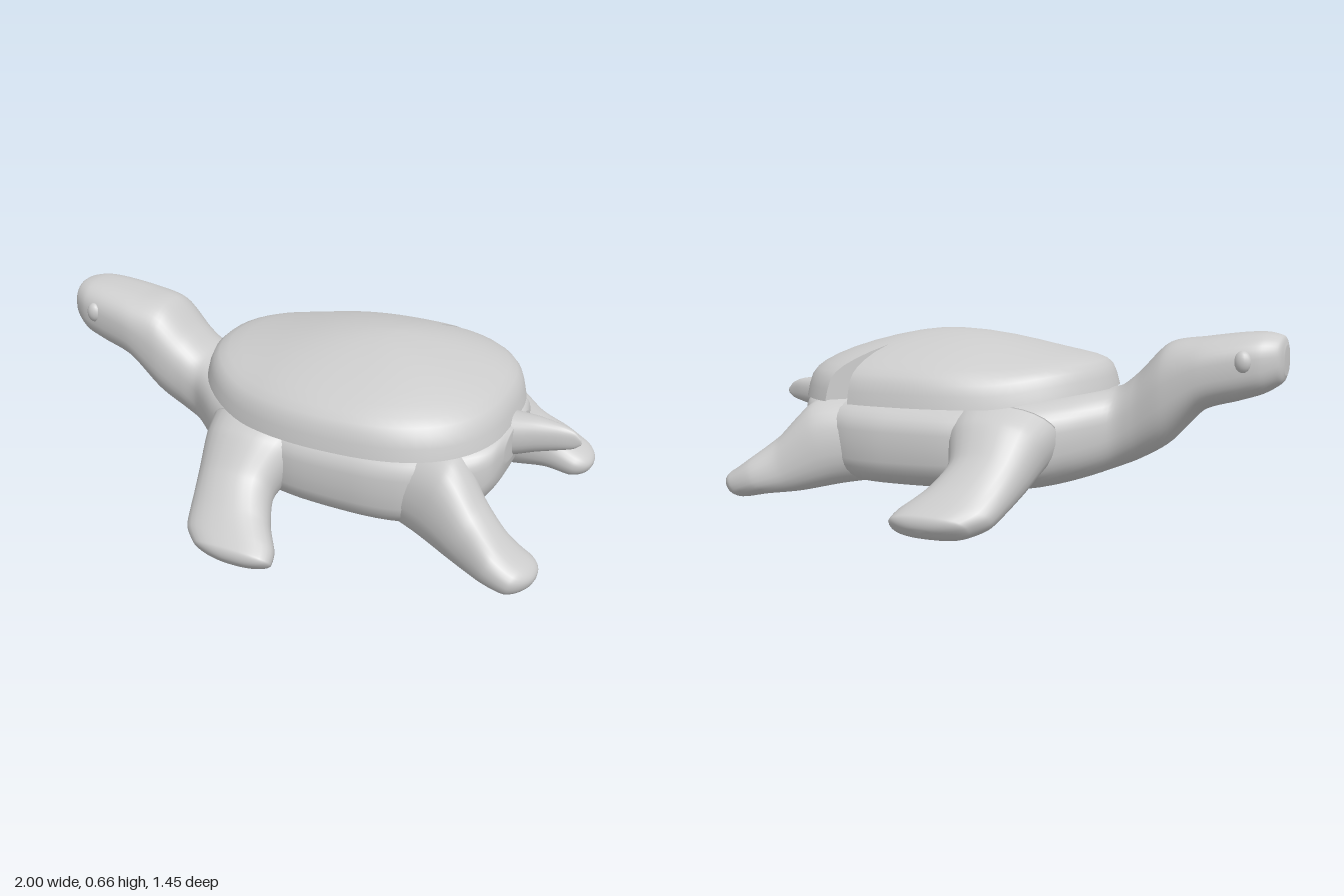
import * as THREE from 'three';
import { mergeVertices, toCreasedNormals } from 'three/addons/utils/BufferGeometryUtils.js';

const grey = new THREE.MeshStandardMaterial({ color: 0xcccccc });
grey.name = 'plain grey';

function makeGeometry(positions, indices) {
  const g = new THREE.BufferGeometry();
  g.setAttribute('position', new THREE.Float32BufferAttribute(positions, 3));
  g.setIndex(indices);
  return g;
}

// Smooth closed loft through sections [x, y, z, halfWidth, halfHeight, squareness].
// All sections face along tangent; tip rounds off the last part of the length.
function loft(sections, tangent, widthAxis, { tip = 0, steps = 80, sides = 28 } = {}) {
  const curve = pick => new THREE.CatmullRomCurve3(sections.map(pick), false, 'catmullrom', 0.4);
  const path = curve(s => new THREE.Vector3(s[0], s[1], s[2]));
  const size = curve(s => new THREE.Vector3(s[3], s[4], s[5] ?? 2.3));
  const heightAxis = tangent.clone().cross(widthAxis).normalize();
  const pos = [], idx = [];
  const bulge = (v, e) => Math.sign(v) * Math.pow(Math.abs(v), 2 / e);
  for (let i = -1; i <= steps + 1; i++) {
    const u = Math.min(Math.max(i / steps, 0), 1);
    const p = path.getPoint(u), r = size.getPoint(u);
    const k = tip > 0 ? Math.max(0, (u - 1 + tip) / tip) : 0;
    const scale = i < 0 || i > steps ? 0 : Math.sqrt(Math.max(0, 1 - k * k));
    for (let j = 0; j < sides; j++) {
      const a = j / sides * Math.PI * 2;
      const q = p.clone().addScaledVector(widthAxis, scale * r.x * bulge(Math.cos(a), r.z))
        .addScaledVector(heightAxis, scale * r.y * bulge(Math.sin(a), r.z));
      pos.push(q.x, q.y, q.z);
    }
  }
  for (let i = 0; i < steps + 2; i++) {
    for (let j = 0; j < sides; j++) {
      const a = i * sides + j, b = i * sides + (j + 1) % sides;
      if (i > 0) idx.push(a, b, a + sides);
      if (i < steps + 1) idx.push(b, b + sides, a + sides);
    }
  }
  const g = mergeVertices(makeGeometry(pos, idx), 1e-5);
  g.computeVertexNormals();
  return g;
}

// Domed shell with a wedge-shaped notch on the right rim.
function shellGeometry() {
  const cx = 0.25, apex = 0.55, n = 72;
  const top = [[0, 1], [0.12, 0.985], [0.25, 0.95], [0.4, 0.885], [0.55, 0.8], [0.69, 0.7],
    [0.79, 0.61], [0.87, 0.52], [0.925, 0.43], [0.96, 0.33], [0.983, 0.18], [1, 0]];
  const under = top.slice(0, -1).reverse().map(([f]) => [f, 0.02]);
  const rows = [...top, ...under];
  const rim = a => {
    const c = Math.cos(a), s = Math.sin(a);
    const len = c < 0 ? 0.64 : 0.52, e = c < 0 ? 2.1 : 2.6;
    return Math.pow(Math.abs(c / len) ** e + Math.abs(s / 0.49) ** e, -1 / e);
  };
  const pos = [], idx = [];
  for (const [f, h] of rows) {
    const open = Math.max(0, (f - apex) / (1 - apex));
    const start = THREE.MathUtils.degToRad(-61.7 + 4.8 * open);
    const end = THREE.MathUtils.degToRad(298.3 - 7.5 * open);
    for (let j = 0; j <= n; j++) {
      const a = start + (end - start) * j / n, r = rim(a) * f;
      const x = cx + r * Math.cos(a);
      const lift = 0.045 * f * f * THREE.MathUtils.smoothstep(-x, 0.05, 0.4);
      pos.push(x, 0.403 + 0.242 * h + lift, r * Math.sin(a) - 0.005);
    }
  }
  const at = (i, j) => i * (n + 1) + j, last = rows.length - 1;
  for (let i = 0; i < last; i++) {
    for (let j = 0; j < n; j++) {
      if (i > 0) idx.push(at(i, j), at(i, j + 1), at(i + 1, j));
      if (i < last - 1) idx.push(at(i, j + 1), at(i + 1, j + 1), at(i + 1, j));
    }
  }
  // Walls of the notch
  for (let i = 4; i < top.length - 1; i++) {
    for (const j of [0, n]) {
      const a = at(i, j), b = at(i + 1, j), c = at(last - i - 1, j), d = at(last - i, j);
      if (j === 0) idx.push(a, b, c, a, c, d);
      else idx.push(a, c, b, a, d, c);
    }
  }
  return toCreasedNormals(mergeVertices(makeGeometry(pos, idx), 1e-5), 0.9);
}

export function createModel() {
  const model = new THREE.Group();
  model.name = 'turtle';
  const add = (name, geometry) => {
    const mesh = new THREE.Mesh(geometry, grey);
    mesh.name = name;
    model.add(mesh);
    return mesh;
  };
  const X = new THREE.Vector3(1, 0, 0), Z = new THREE.Vector3(0, 0, 1);

  // Head, neck and torso: [x, bottom, top, half width, squareness]
  const outline = [
    [-1.0, 0.52, 0.62, 0.05, 2.4], [-0.985, 0.49, 0.652, 0.09, 2.4], [-0.93, 0.455, 0.664, 0.125, 2.6],
    [-0.85, 0.428, 0.66, 0.143, 2.6], [-0.72, 0.385, 0.642, 0.16, 2.6], [-0.6, 0.262, 0.62, 0.163, 2.5],
    [-0.5, 0.2, 0.52, 0.153, 2.4], [-0.42, 0.165, 0.458, 0.165, 2.5], [-0.3, 0.12, 0.44, 0.26, 2.7],
    [-0.15, 0.085, 0.425, 0.355, 3], [0.1, 0.075, 0.42, 0.415, 3.2], [0.35, 0.072, 0.42, 0.425, 3.3],
    [0.5, 0.075, 0.42, 0.405, 3.3], [0.64, 0.11, 0.42, 0.35, 3.3], [0.72, 0.165, 0.418, 0.29, 3.2],
    [0.76, 0.22, 0.412, 0.235, 3], [0.78, 0.29, 0.4, 0.15, 2.6]];
  add('headNeckAndBody', loft(outline.map(([x, b, t, w, e]) => [x, (b + t) / 2, 0, w, (t - b) / 2, e]), X, Z,
    { steps: 100, sides: 44 }));

  add('shell', shellGeometry());

  add('tail', loft([[0.68, 0.345, 0, 0.09, 0.09], [0.77, 0.355, 0, 0.072, 0.077],
    [0.85, 0.367, 0, 0.05, 0.063], [0.93, 0.372, 0, 0.028, 0.047], [0.975, 0.37, 0, 0.012, 0.032],
    [1.0, 0.366, 0, 0.003, 0.01]], X, Z, { steps: 30 }));

  // Paired limbs and eyes
  for (const s of [1, -1]) {
    const side = s > 0 ? 'left' : 'right';
    add(side + 'FrontLeg', loft([
      [-0.07, 0.29, 0.24 * s, 0.21, 0.15], [-0.08, 0.25, 0.34 * s, 0.18, 0.14],
      [-0.09, 0.175, 0.45 * s, 0.143, 0.108], [-0.06, 0.115, 0.55 * s, 0.15, 0.085],
      [-0.02, 0.071, 0.63 * s, 0.165, 0.07, 2.4], [0.012, 0.048, 0.68 * s, 0.145, 0.059, 2.5],
      [0.03, 0.035, 0.715 * s, 0.115, 0.045, 2.6]], new THREE.Vector3(0, -0.62, 0.785 * s), X, { tip: 0.17 }));
    add(side + 'BackLeg', loft([
      [0.45, 0.255, 0.22 * s, 0.16, 0.165], [0.6, 0.235, 0.295 * s, 0.135, 0.165],
      [0.73, 0.157, 0.362 * s, 0.113, 0.112], [0.83, 0.114, 0.412 * s, 0.11, 0.077],
      [0.91, 0.08, 0.422 * s, 0.104, 0.058], [0.98, 0.066, 0.41 * s, 0.085, 0.046]],
    new THREE.Vector3(0.933, -0.36, 0), Z, { tip: 0.19 }));
    const eye = add(side + 'Eye', new THREE.SphereGeometry(1, 16, 12));
    eye.scale.set(0.03, 0.038, 0.025);
    eye.position.set(-0.875, 0.57, 0.128 * s);
  }
  return model;
}
